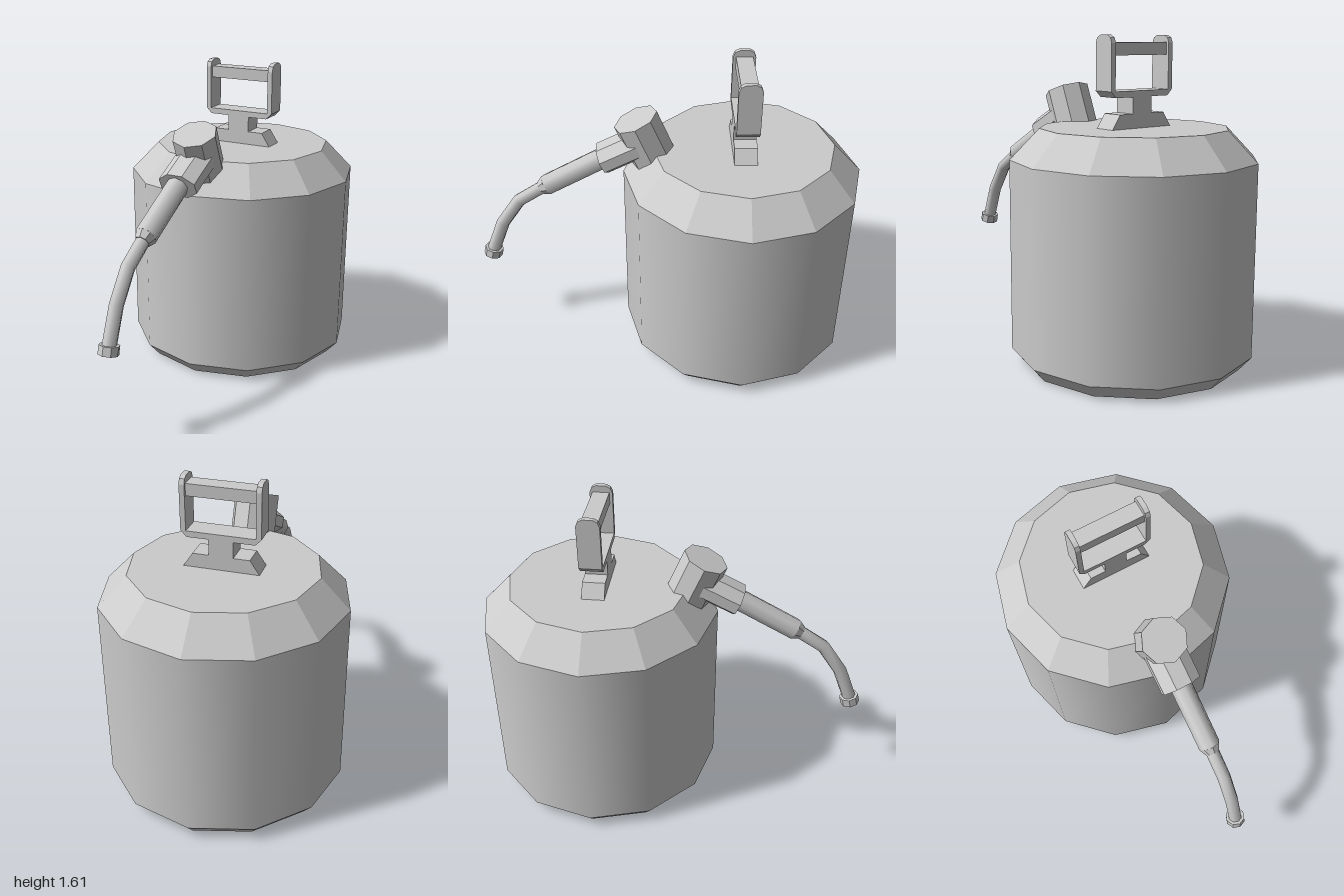
import * as THREE from 'three';

const flat = new THREE.MeshStandardMaterial({ color: 0xcccccc, flatShading: true });
const smooth = new THREE.MeshStandardMaterial({ color: 0xcccccc });
const TANK_Z = -0.39;

// Frustum running from point a to point b in the x = 0 plane, points as [y, z]
function rod(name, a, b, rA, rB, sides, material = flat, start = 0) {
  const dy = b[0] - a[0], dz = b[1] - a[1];
  const geo = new THREE.CylinderGeometry(rB, rA, Math.hypot(dy, dz), sides, 1, false, start);
  const mesh = new THREE.Mesh(geo, material);
  mesh.name = name;
  mesh.position.set(0, (a[0] + b[0]) / 2, (a[1] + b[1]) / 2);
  mesh.rotation.x = Math.atan2(dz, dy);
  return mesh;
}

// Outline extruded symmetrically about its own plane
function plate(name, points, depth) {
  const shape = new THREE.Shape(points.map(p => new THREE.Vector2(...p)));
  const geo = new THREE.ExtrudeGeometry(shape, { depth, bevelEnabled: false });
  geo.translate(0, 0, -depth / 2);
  const mesh = new THREE.Mesh(geo, flat);
  mesh.name = name;
  return mesh;
}

// Path with straight runs between the given points
class BentPath extends THREE.Curve {
  constructor(points) {
    super();
    this.points = points;
  }
  getUtoTmapping(u) { return u; }
  getPoint(t, target = new THREE.Vector3()) {
    const n = this.points.length - 1;
    const i = Math.min(Math.floor(t * n), n - 1);
    return target.lerpVectors(this.points[i], this.points[i + 1], t * n - i);
  }
}

function createTank() {
  const tank = new THREE.Group();
  tank.name = 'tank';
  tank.add(rod('tankBase', [0, TANK_Z], [0.07, TANK_Z], 0.55, 0.61, 12));
  tank.add(rod('tankWall', [0.07, TANK_Z], [1.02, TANK_Z], 0.61, 0.61, 12, smooth));
  tank.add(rod('tankShoulder', [1.02, TANK_Z], [1.17, TANK_Z], 0.61, 0.465, 12));
  return tank;
}

function createHandle() {
  const handle = new THREE.Group();
  handle.name = 'handle';
  handle.position.z = TANK_Z;
  const depth = 0.115, h = depth / 2;

  // Foot, neck and chamfered lower bar
  handle.add(plate('handleFoot', [[-0.19, 1.165], [0.19, 1.165], [0.14, 1.24], [-0.14, 1.24]], depth));
  handle.add(plate('handleNeck', [[-0.06, 1.23], [0.06, 1.23], [0.06, 1.33], [-0.06, 1.33]], depth));
  handle.add(plate('handleLowerBar',
    [[-0.165, 1.32], [0.165, 1.32], [0.195, 1.35], [-0.195, 1.35]], depth));

  // Side plates with rounded tops
  const outline = [[-h, 1.35], [h, 1.35], [h, 1.575], [h - 0.01, 1.6], [h - 0.033, 1.612],
    [0.033 - h, 1.612], [0.01 - h, 1.6], [-h, 1.575]];
  for (const side of [-1, 1]) {
    const cheek = plate(side > 0 ? 'leftHandlePlate' : 'rightHandlePlate', outline, 0.026);
    cheek.rotation.y = Math.PI / 2;
    cheek.position.x = side * 0.182;
    handle.add(cheek);
  }

  // Grip bar
  const grip = new THREE.Mesh(new THREE.BoxGeometry(0.35, 0.06, 0.085), flat);
  grip.name = 'handleGrip';
  grip.position.y = 1.547;
  handle.add(grip);
  return handle;
}

function createSpout() {
  const spout = new THREE.Group();
  spout.name = 'spout';

  // Octagonal cap leaning out of the shoulder
  spout.add(rod('spoutCap', [1.05, 0.038], [1.325, 0.153], 0.116, 0.116, 8));

  // Wide, slightly flattened collar
  const collar = rod('spoutCollar', [1.2, 0.125], [1.1, 0.323], 0.108, 0.108, 8, flat, Math.PI / 8);
  collar.scale.z = 0.7;
  spout.add(collar);

  // Sleeve tapering into the bent tube
  spout.add(rod('spoutSleeve', [1.11, 0.305], [0.937, 0.62], 0.056, 0.056, 8, smooth));
  spout.add(rod('spoutSleeveTaper', [0.937, 0.62], [0.919, 0.652], 0.056, 0.038, 8));

  const path = new BentPath([[0.93, 0.632], [0.838, 0.775], [0.69, 0.877], [0.51, 0.947]]
    .map(([y, z]) => new THREE.Vector3(0, y, z)));
  const tube = new THREE.Mesh(new THREE.TubeGeometry(path, 3, 0.035, 8), smooth);
  tube.name = 'spoutTube';
  spout.add(tube);

  // Tip ring
  spout.add(rod('spoutTip', [0.522, 0.943], [0.478, 0.954], 0.05, 0.05, 8));
  return spout;
}

export function createModel() {
  const model = new THREE.Group();
  model.name = 'sprayCan';
  model.add(createTank(), createHandle(), createSpout());
  return model;
}
